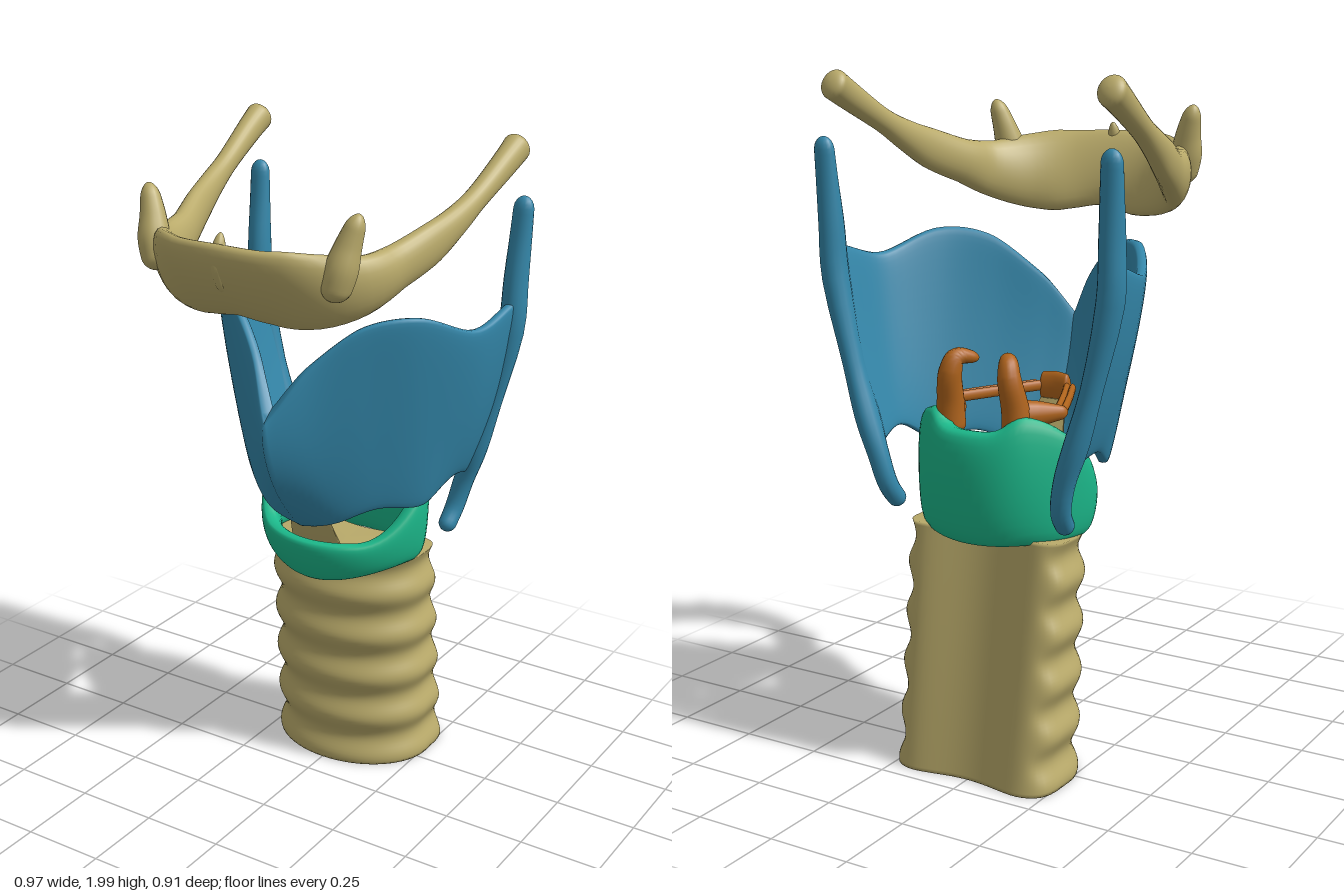
import * as THREE from 'three';

const V = (x, y, z) => new THREE.Vector3(x, y, z);
const step = THREE.MathUtils.smoothstep;
const mat = (color) => new THREE.MeshStandardMaterial({ color });

// Skin a list of equal-length rings; ends are capped unless the rings form a loop.
function loft(rings, loop = false) {
  const n = rings[0].length, m = rings.length, pts = rings.flat(), idx = [];
  for (let i = 0; i < (loop ? m : m - 1); i++) {
    for (let j = 0; j < n; j++) {
      const a = i * n + j, b = i * n + (j + 1) % n;
      const c = ((i + 1) % m) * n + j, d = ((i + 1) % m) * n + (j + 1) % n;
      idx.push(a, b, d, a, d, c);
    }
  }
  if (!loop) {
    [0, m - 1].forEach((row) => {
      const o = pts.length;
      pts.push(rings[row].reduce((s, p) => s.add(p), V(0, 0, 0)).divideScalar(n));
      for (let j = 0; j < n; j++) {
        const a = row * n + j, b = row * n + (j + 1) % n;
        row ? idx.push(o, a, b) : idx.push(o, b, a);
      }
    });
  }
  // turn all faces outward
  let vol = 0;
  for (let i = 0; i < idx.length; i += 3) {
    vol += pts[idx[i]].dot(V(0, 0, 0).crossVectors(pts[idx[i + 1]], pts[idx[i + 2]]));
  }
  if (vol < 0) idx.reverse();
  const g = new THREE.BufferGeometry().setFromPoints(pts);
  g.setIndex(idx);
  g.computeVertexNormals();
  return g;
}

// Rounded sweep; rows are [x, y, z, halfWidth, halfHeight, shear].
function sweep(rows, ref, round = 0.06, steps = 40, seg = 16) {
  const path = new THREE.CatmullRomCurve3(rows.map((r) => V(r[0], r[1], r[2])));
  const size = new THREE.CatmullRomCurve3(rows.map((r) => V(r[3], r[4] ?? r[3], r[5] ?? 0)));
  const rings = [];
  for (let i = 0; i <= steps; i++) {
    const t = 0.5 - 0.5 * Math.cos(Math.PI * i / steps);
    const p = path.getPoint(t), T = path.getTangent(t), s = size.getPoint(t);
    const e = Math.max(0, 1 - Math.min(t, 1 - t) / round);
    const k = Math.max(0.03, Math.sqrt(1 - e * e));
    const N = ref.clone().cross(T).normalize(), B = T.clone().cross(N);
    rings.push(Array.from({ length: seg }, (_, j) => {
      const a = j / seg * Math.PI * 2, h = s.y * Math.sin(a) * k;
      return p.clone().addScaledVector(N, s.x * Math.cos(a) * k - s.z * h).addScaledVector(B, h);
    }));
  }
  return loft(rings);
}

// Plan curves (x, z) of the shield at three heights, midline to rear edge.
const plan = [
  [[0, .09], [.12, .045], [.225, -.04], [.31, -.16], [.32, -.29], [.31, -.41]],
  [[0, .24], [.1, .14], [.22, .03], [.335, -.1], [.4, -.25], [.405, -.42]],
  [[0, .2], [.1, .14], [.22, .07], [.35, -.04], [.45, -.2], [.475, -.42]],
].map((c) => new THREE.CatmullRomCurve3(c.map(([x, z]) => V(x, 0, z))));
const edge = (ys) => {
  const c = new THREE.SplineCurve(ys.map((y, i) => new THREE.Vector2(i, y)));
  return (t) => c.getPoint(t).y;
};
const shieldTop = edge([1.23, 1.39, 1.505, 1.53, 1.47, 1.52]);
const shieldBottom = edge([.85, .885, .93, .92, .98, .95]);

function shieldPoint(u, y) {
  const [a, b, c] = [.9, 1.18, 1.5], t = Math.abs(u);
  const w = [(y - b) * (y - c) / ((a - b) * (a - c)), (y - a) * (y - c) / ((b - a) * (b - c)),
    (y - a) * (y - b) / ((c - a) * (c - b))];
  const p = V(0, 0, 0);
  plan.forEach((curve, i) => p.addScaledVector(curve.getPoint(t), w[i]));
  return V(p.x * Math.sign(u), y, p.z);
}

function shieldGeometry() {
  const rings = [], nu = 72, seg = 48;
  for (let i = 0; i <= nu; i++) {
    const u = i / nu * 2 - 1, t = Math.abs(u);
    const top = shieldTop(t), bot = shieldBottom(t), th = 0.045 + 0.02 * (1 - step(t, 0, 0.2));
    rings.push(Array.from({ length: seg }, (_, j) => {
      const a = j / seg * Math.PI * 2, c = Math.cos(a);
      const y = (top + bot) / 2 + (top - bot) / 2 * Math.sin(a);
      const d = shieldPoint(Math.min(1, u + 0.03), y).sub(shieldPoint(Math.max(-1, u - 0.03), y));
      const n = V(-d.z, 0, d.x).normalize();
      const off = th / 2 * (Math.sign(c) * Math.abs(c) ** 0.35 - 1);
      return shieldPoint(u, y).addScaledVector(n, off);
    }));
  }
  return loft(rings);
}

// Signet ring: low arch in front, tall narrowing plate behind.
function signetGeometry() {
  const rings = [], n = 72, seg = 28;
  for (let i = 0; i < n; i++) {
    const q = i / n * Math.PI * 2, c = Math.cos(q), s = Math.sin(q);
    const top = 0.8 + 0.27 * step(-c, -0.8, 0.75) - 0.045 * step(-c, 0.75, 1);
    const bot = 0.715 - (c > 0 ? 0.053 : 0.02) * c * c;
    const th = 0.06 + 0.035 * step(-c, 0.3, 1);
    rings.push(Array.from({ length: seg }, (_, j) => {
      const a = j / seg * Math.PI * 2, ca = Math.cos(a), v = Math.sin(a);
      const off = th / 2 * (Math.sign(ca) * Math.abs(ca) ** 0.6 - 1);
      const k = 0.97 + 0.03 * v;
      const narrow = c > 0 ? 0.13 * c : 0.15 * Math.sin(Math.PI * c * c) * (0.5 + 0.5 * v);
      const x = 0.287 * s * (1 - narrow) * k;
      const z = 0.242 * c * k - 0.012 * (1 - v) * Math.max(0, c);
      return V(x + s * off, (top + bot) / 2 + (top - bot) / 2 * v, -0.2 + z + c * off);
    }));
  }
  return loft(rings, true);
}

// Ribbed windpipe with a hollowed flat back.
function windpipeGeometry() {
  const rings = [], ny = 70, seg = 64, h = 0.72;
  for (let i = 0; i <= ny; i++) {
    const y = h * i / ny, f = y / h;
    const front = -0.092 + 0.042 * f, back = -0.465 + 0.1 * f, zc = front - 0.2;
    const rib = 0.011 * Math.cos(Math.PI * 2 * (y - 0.015) / 0.146);
    rings.push(Array.from({ length: seg }, (_, j) => {
      const q = j / seg * Math.PI * 2, c = Math.cos(q), s = Math.sin(q);
      const r = rib * step(c, -0.7, -0.3);
      const d = zc - back;
      const z = c > 0 ? (0.2 + r) * c : -d * 1.2 * (-c) ** 0.45 + 0.07 * c ** 4;
      return V((0.252 + r) * s, y, zc + z);
    }));
  }
  return loft(rings);
}

export function createModel() {
  const model = new THREE.Group();
  const bone = mat(0xb9aa6a), blue = mat(0x3488ab), green = mat(0x1cb98b), orange = mat(0xb0641c);
  const add = (name, geometry, material) => {
    const mesh = new THREE.Mesh(geometry, material);
    mesh.name = name;
    model.add(mesh);
    return mesh;
  };
  const Y = V(0, 1, 0), Z = V(0, 0, 1);

  // Horseshoe bone at the top
  const half = [
    [.437, 1.966, -.418, .042, .045, 0], [.434, 1.93, -.35, .036, .042, 0], [.42, 1.85, -.2, .031, .035, 0],
    [.407, 1.8, -.1, .033, .045, 0], [.385, 1.755, 0, .036, .06, 0], [.35, 1.715, .11, .04, .065, 0],
    [.315, 1.685, .22, .043, .085, .1], [.235, 1.675, .31, .046, .11, .3], [.12, 1.68, .365, .045, .115, .5],
  ];
  const mirrored = half.map(([x, ...r]) => [-x, ...r]);
  add('horseshoeBone', sweep([...mirrored, [0, 1.69, .385, .045, .11, .5], ...half.slice().reverse()],
    Y, 0.02, 110, 24), bone);
  add('horseshoeRidge', sweep([[0, 1.66, .4, .02], [0, 1.75, .43, .022], [0, 1.825, .415, .012]],
    V(1, 0, 0), 0.2), bone);

  // Shield, ring and windpipe
  add('shieldCartilage', shieldGeometry(), blue);
  add('signetRing', signetGeometry(), green);
  add('windpipe', windpipeGeometry(), bone);

  for (const s of [1, -1]) {
    const side = s > 0 ? 'left' : 'right';
    const pair = (name, rows, ref, material, round) =>
      add(side + name, sweep(rows.map(([x, ...r]) => [s * x, ...r]), ref, round), material);
    pair('LesserHorn', [[.28, 1.66, .32, .04], [.3, 1.74, .31, .046], [.315, 1.81, .295, .036],
      [.338, 1.89, .28, .022]], Z, bone, 0.15);
    // rear rod of the shield with its upper and lower horns
    pair('ShieldHorns', [[.455, 1.815, -.428, .03, .022], [.452, 1.7, -.42, .033, .028],
      [.448, 1.57, -.41, .036, .038], [.443, 1.43, -.405, .038, .042], [.387, 1.18, -.405, .03, .034],
      [.343, 1.03, -.405, .034, .04], [.306, .92, -.405, .031], [.286, .83, -.388, .029],
      [.278, .765, -.34, .027]], Z, blue, 0.04);
    // small pyramids on the rear plate
    pair('Pyramid', [[.11, .99, -.325, .045], [.107, 1.08, -.33, .04], [.097, 1.17, -.345, .034],
      [.085, 1.212, -.33, .027], [.046, 1.205, -.275, .014]], Z, orange, 0.08);
    pair('PyramidArm', [[.1, 1.065, -.325, .038, .045], [.14, 1.065, -.275, .033, .038],
      [.205, 1.065, -.21, .011, .016]], Y, orange, 0.1);
    // paired cords from the arms to the front
    for (const o of [0, .02]) {
      pair(o ? 'OuterCord' : 'InnerCord', [[.17 + o, 1.065, -.21, .01, .016],
        [.107 + o, 1.065, -.07, .01, .016], [.042 + o, 1.065, .065, .01, .016]], Y, orange, 0.01);
    }
  }

  // Front anchor of the cords
  add('cordAnchor', sweep([[-.05, 1.06, .068, .018, .045], [0, 1.06, .072, .018, .05],
    [.05, 1.06, .068, .018, .045]], Y, 0.1), orange);

  // Sloping front membrane, wider at its foot
  const membrane = [[1.03, .055, .04], [.9, .006, .062], [.75, -.06, .09]].map(([y, z, w]) =>
    [V(-w, y, z - .005), V(w, y, z - .005), V(w, y, z + .005), V(-w, y, z + .005)]);
  add('frontMembrane', loft(membrane), bone);

  return model;
}
